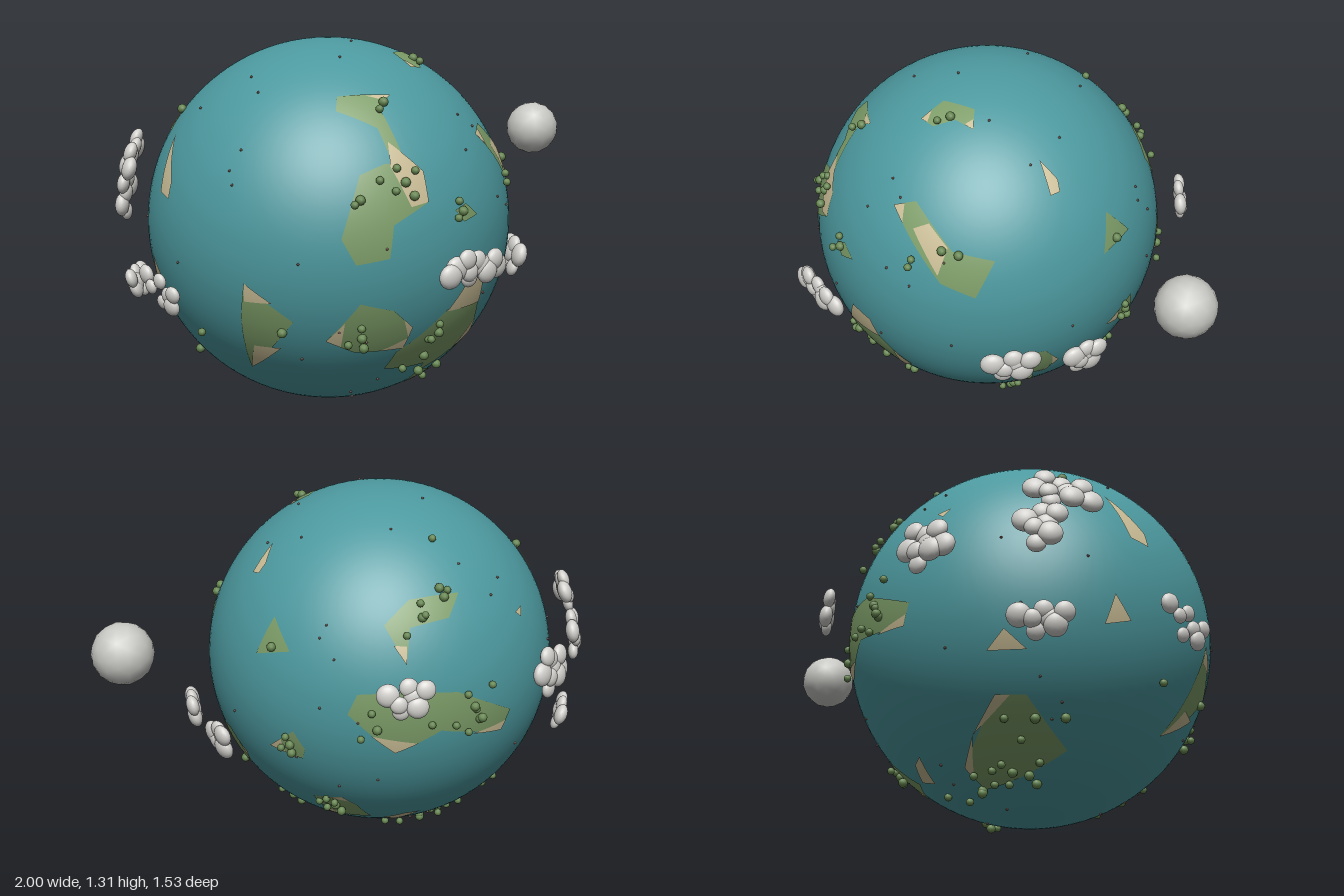
import * as THREE from 'three';
import { mergeGeometries } from 'three/addons/utils/BufferGeometryUtils.js';

const R = 0.653;
const mat = (name, color) => new THREE.MeshStandardMaterial({ name, color });
const V = (x, y, z) => new THREE.Vector3(x, y, z);

// A chart is a flat disc map of one hemisphere: facing angles, disc centre, disc radius
function chart(az, el, cx, cy, r) {
  const a = az * Math.PI / 180, e = el * Math.PI / 180;
  return {
    cx, cy, r,
    right: V(Math.cos(a), 0, -Math.sin(a)),
    up: V(-Math.sin(a) * Math.sin(e), Math.cos(e), -Math.cos(a) * Math.sin(e)),
    out: V(Math.sin(a) * Math.cos(e), Math.sin(e), Math.cos(a) * Math.cos(e)),
  };
}
const front = chart(0, 0, 191.5, 224, 122);
const side = chart(90, 0, 687, 224, 154);
const frontHigh = chart(35, 25, 202, 661, 118);
const backHigh = chart(215, 25, 722.5, 682, 118);
const backLow = chart(140, -30, 1169, 686, 118);

// Chart point to a point on the sphere of radius rho around the planet's centre
function place(c, x, y, rho) {
  const u = (x - c.cx) / c.r * R, v = (c.cy - y) / c.r * R;
  const w = Math.sqrt(Math.max(0, rho * rho - u * u - v * v));
  return V(0, 0, 0).addScaledVector(c.right, u).addScaledVector(c.up, v)
    .addScaledVector(c.out, w).setLength(rho);
}

// Thin polygon that follows the curve of the planet
function patch(c, pts, lift) {
  const pos = [], nor = [];
  const mid = (p, q) => p.clone().add(q).setLength(R);
  const split = (a, b, d, n) => {
    if (n > 0) {
      const ab = mid(a, b), bd = mid(b, d), da = mid(d, a);
      split(a, ab, da, n - 1);
      split(ab, b, bd, n - 1);
      split(da, bd, d, n - 1);
      split(ab, bd, da, n - 1);
      return;
    }
    const outward = b.clone().sub(a).cross(d.clone().sub(a)).dot(a) > 0;
    for (const p of outward ? [a, b, d] : [a, d, b]) {
      const q = p.clone().normalize();
      nor.push(...q);
      pos.push(...q.multiplyScalar(R + lift));
    }
  };
  for (const t of THREE.ShapeUtils.triangulateShape(pts, [])) {
    split(...t.map((i) => place(c, pts[i].x, pts[i].y, R)), 3);
  }
  const g = new THREE.BufferGeometry();
  g.setAttribute('position', new THREE.Float32BufferAttribute(pos, 3));
  g.setAttribute('normal', new THREE.Float32BufferAttribute(nor, 3));
  return g;
}

const corners = (flat) => Array.from({ length: flat.length / 2 },
  (_, i) => new THREE.Vector2(flat[2 * i], flat[2 * i + 1]));

// Points spread over an ellipse on a chart by the golden angle
const scatter = (c, x, y, rx, ry, n, rho) => Array.from({ length: n }, (_, i) => {
  const k = Math.sqrt((i + 0.5) / n), t = i * 2.4;
  return place(c, x + rx * k * Math.cos(t), y + ry * k * Math.sin(t), rho + (i % 2) * 0.01);
});

export function createModel() {
  const sea = mat('sea', 0x4c999f), grass = mat('grass', 0x7d9d68), sand = mat('sand', 0xcabd96);
  const leaf = mat('leaf', 0x65854f), white = mat('cloudWhite', 0xd2d1cd), moonGrey = mat('moonGrey', 0xc8c8c4);
  const clay = mat('clay', 0x96695c);
  const model = new THREE.Group(), planet = new THREE.Group();
  planet.name = 'planet';
  planet.position.set(-0.25, 0.655, 0);
  model.add(planet);
  const add = (name, geo, material, parent = planet) => {
    const m = new THREE.Mesh(geo, material);
    m.name = name;
    parent.add(m);
    return m;
  };

  add('ocean', new THREE.SphereGeometry(R, 96, 64), sea);

  // Beaches, and grassland whose listed corners turn to sand
  const beach = (c, flat) => add('beach', patch(c, corners(flat), 0.005), sand);
  const land = (c, flat, sandy = []) => {
    const pts = corners(flat), n = pts.length;
    add('grassland', patch(c, pts, 0.003), grass);
    for (const i of sandy) {
      const half = (j) => pts[i].clone().lerp(pts[j % n], 0.5);
      add('sandyCorner', patch(c, [half(i + n - 1), pts[i], half(i + 1)], 0.005), sand);
    }
  };
  land(front, [140, 134, 170, 134, 158, 140, 158, 172, 150, 172, 150, 152, 134, 142], [1]);
  land(front, [146, 172, 168, 178, 167, 196, 143, 208, 140, 228, 122, 231, 115, 215, 130, 178]);
  beach(front, [152, 160, 168, 178, 167, 196, 155, 198, 148, 174]);
  land(front, [187, 203, 197, 200, 207, 208, 194, 211]);
  land(front, [187, 267, 219, 267, 231, 293, 198, 314, 229, 322, 198, 328, 192, 308, 160, 306, 160, 293], [2, 4]);
  beach(front, [202, 247, 218, 252, 220, 268, 187, 268]);
  land(front, [127, 256, 147, 262, 163, 275, 163, 290, 134, 290, 117, 281], [2, 3, 5]);
  land(front, [80, 244, 100, 268, 104, 306, 84, 268], [0, 2]);
  land(frontHigh, [177, 648, 192, 643, 220, 670, 246, 672, 236, 698, 214, 692, 193, 668], [0]);
  beach(frontHigh, [193, 660, 203, 655, 217, 668, 212, 687]);
  land(frontHigh, [180, 594, 190, 581, 212, 583, 216, 595, 203, 591, 190, 597], [0, 3]);
  land(side, [628, 275, 650, 276, 667, 295, 660, 310, 648, 312], [2, 3]);
  land(side, [712, 160, 735, 184, 702, 192]);
  land(side, [740, 252, 747, 268, 742, 278, 712, 272], [3]);
  land(side, [728, 323, 755, 318, 759, 328, 752, 348, 722, 348], [1, 4]);
  land(side, [645, 346, 660, 343, 676, 348, 675, 358, 655, 364], [2]);
  land(side, [797, 140, 812, 138, 818, 155, 806, 160, 812, 188, 793, 158], [4]);
  beach(side, [668, 112, 676, 126, 674, 134, 665, 135]);
  land(backLow, [1152, 620, 1180, 618, 1215, 625, 1251, 655, 1245, 665, 1205, 645, 1176, 656, 1146, 632], [4, 6]);
  land(backLow, [1210, 750, 1256, 732, 1260, 742, 1235, 776, 1198, 765], [0, 1]);
  beach(backLow, [1170, 735, 1185, 727, 1196, 727, 1180, 742]);
  beach(backLow, [1268, 710, 1276, 705, 1274, 722]);
  beach(backHigh, [740, 670, 745, 655, 755, 648, 757, 668]);
  land(backHigh, [755, 650, 765, 666, 757, 668]);
  beach(backHigh, [780, 663, 803, 685, 805, 695, 795, 696]);
  beach(backHigh, [778, 755, 785, 738, 793, 747]);
  beach(backHigh, [679, 681, 688, 680, 683, 686]);

  // Groves of round tree crowns in two sizes
  const grove = (c, x, y, n, spread) => add('grove', mergeGeometries(
    scatter(c, x, y, spread, spread, n, R + 0.008).map((p, i) =>
      new THREE.IcosahedronGeometry(i % 3 ? 0.014 : 0.017, 1).translate(p.x, p.y, p.z))), leaf);
  grove(front, 150, 183, 6, 13);
  grove(front, 159, 137, 2, 6);
  grove(front, 124, 192, 2, 4);
  grove(front, 190, 204, 3, 7);
  grove(front, 266, 183, 2, 20);
  grove(front, 130, 280, 4, 9);
  grove(front, 183, 283, 3, 7);
  grove(front, 178, 300, 4, 17);
  grove(front, 208, 315, 2, 10);
  grove(front, 90, 276, 2, 14);
  grove(frontHigh, 196, 589, 2, 6);
  grove(side, 568, 170, 2, 17);
  grove(side, 645, 312, 1, 0);
  grove(side, 732, 266, 4, 9);
  grove(side, 718, 183, 1, 0);
  grove(side, 740, 331, 6, 11);
  grove(side, 656, 356, 4, 10);
  grove(side, 743, 369, 4, 7);
  grove(side, 809, 139, 3, 5);
  grove(backLow, 1160, 639, 3, 11);
  grove(backLow, 1227, 646, 3, 8);
  grove(backLow, 1199, 580, 3, 10);
  grove(backLow, 1216, 769, 9, 14);
  grove(backLow, 1248, 755, 4, 12);
  grove(backHigh, 632, 720, 6, 15);
  grove(backHigh, 624, 653, 2, 9);
  grove(backHigh, 755, 653, 1, 0);

  // Tiny pebbles spread evenly over the globe
  const pebbles = Array.from({ length: 60 }, (_, i) => {
    const p = V(0, 0, 0).setFromSphericalCoords(R + 0.003, Math.acos(1 - (2 * i + 1) / 60), i * 2.4 + Math.sin(i * 7.3));
    return new THREE.IcosahedronGeometry(0.005, 0).translate(p.x, p.y, p.z);
  });
  add('pebbles', mergeGeometries(pebbles), clay);

  // Clouds of puffs flattened towards the ground
  const cloud = (c, x, y, rx, ry, n, radius) => {
    const group = new THREE.Group(), size = radius / c.r * R;
    group.name = 'cloud';
    planet.add(group);
    scatter(c, x, y, rx, ry, n, 0.742).forEach((p, i) => {
      const puff = add('puff', new THREE.IcosahedronGeometry(size * (1 + 0.15 * Math.sin(i * 5)), 3), white, group);
      puff.position.copy(p);
      puff.quaternion.setFromUnitVectors(V(0, 0, 1), p.clone().normalize());
      puff.scale.z = 0.6;
    });
  };
  cloud(front, 187, 236, 24, 8, 10, 7);
  cloud(side, 607, 266, 17, 12, 7, 9.5);
  cloud(side, 671, 273, 13, 13, 7, 9.5);
  cloud(backLow, 1182, 608, 15, 8, 7, 6.5);
  cloud(backHigh, 675, 724, 14, 13, 9, 7);
  cloud(backHigh, 756, 695, 20, 11, 9, 7);
  cloud(backHigh, 746, 722, 12, 14, 7, 7);
  cloud(backHigh, 745, 773, 17, 6, 7, 6.5);
  cloud(backHigh, 826, 742, 12, 8, 7, 5.5);

  add('moon', new THREE.IcosahedronGeometry(0.106, 2), moonGrey, model).position.set(0.894, 0.885, 0);
  return model;
}
